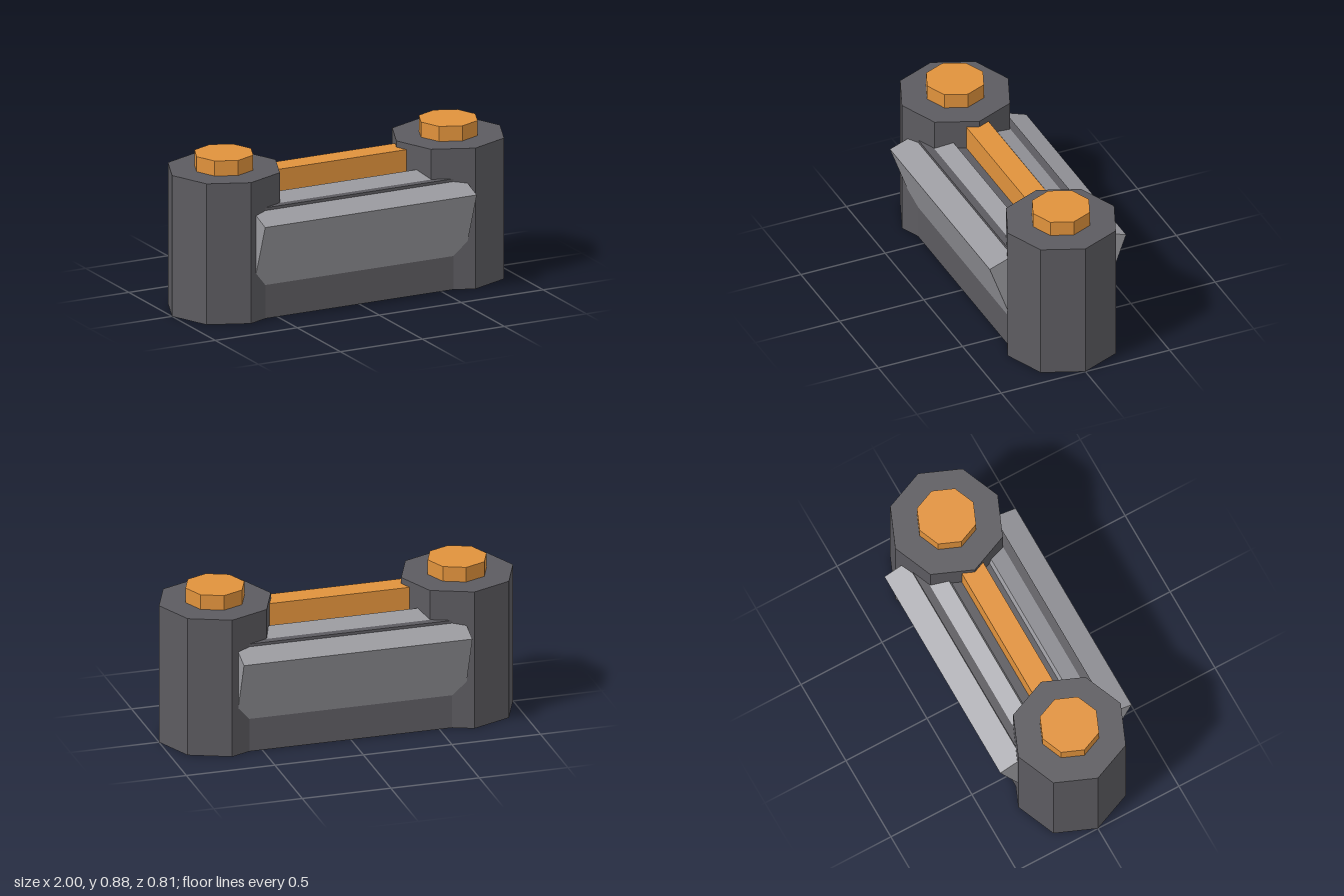
import * as THREE from 'three';

const paint = (color) => new THREE.MeshStandardMaterial({ color, flatShading: true });

export function createModel() {
  const model = new THREE.Group();
  model.name = 'barrier';
  const dark = paint(0x5c5b60);
  const plate = paint(0x9a9a9f);
  const orange = paint(0xe0923c);

  const add = (name, geometry, material, x, y, z) => {
    const mesh = new THREE.Mesh(geometry, material);
    mesh.name = name;
    mesh.position.set(x, y, z);
    model.add(mesh);
    return mesh;
  };

  // Wall between the pillars, with a raised strip along its top
  add('wall', new THREE.BoxGeometry(1.37, 0.625, 0.54), dark, 0, 0.3125, 0);
  add('topStrip', new THREE.BoxGeometry(0.84, 0.16, 0.132), orange, 0, 0.68, 0);

  // Octagonal pillars with smaller octagonal caps
  const pillar = new THREE.CylinderGeometry(0.316, 0.316, 0.795, 8);
  const cap = new THREE.CylinderGeometry(0.166, 0.166, 0.105, 8);
  for (const [side, s] of [['left', 1], ['right', -1]]) {
    add(side + 'Pillar', pillar, dark, s * 0.684, 0.3975, 0);
    add(side + 'Cap', cap, orange, s * 0.684, 0.8275, 0);
  }

  // Slabs leaning outwards through the front and back of the wall
  const tilt = THREE.MathUtils.degToRad(20);
  const height = 0.45, depth = 0.293;
  const slab = new THREE.BoxGeometry(1.29, height, depth);
  const c = Math.cos(tilt), n = Math.sin(tilt);
  // Centre found from the outermost top edge at z 0.405, y 0.56
  const z = 0.405 - (depth / 2) * c - (height / 2) * n;
  const y = 0.56 + (depth / 2) * n - (height / 2) * c;
  for (const [side, s] of [['front', 1], ['back', -1]]) {
    add(side + 'ArmourSlab', slab, plate, 0, y, s * z).rotation.x = s * tilt;
  }

  return model;
}
